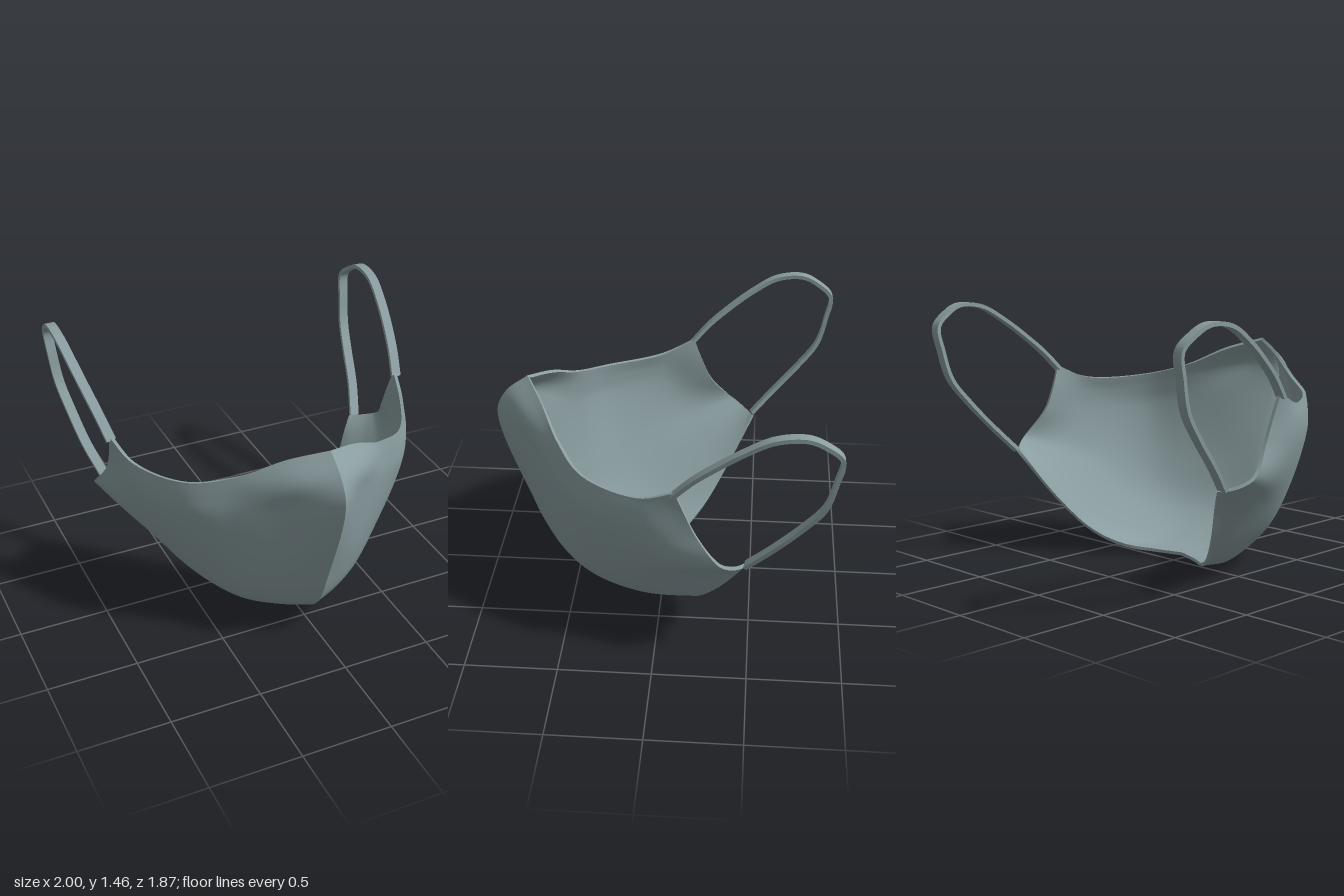
import * as THREE from 'three';
import { mergeGeometries } from 'three/addons/utils/BufferGeometryUtils.js';

const V = (p) => new THREE.Vector3(...p);
const spline = (pts) => new THREE.CatmullRomCurve3(pts);

// Rows of the left half from the top hem to the bottom hem,
// each running from the centre seam to the ear edge.
const ROWS = [
  [[0, 1.23, .76], [.2, 1.165, .655], [.42, 1.055, .54], [.64, .99, .385], [.82, .985, .08], [.88, 1.06, -.11]],
  [[0, 1.13, .885], [.18, 1.07, .77], [.42, .97, .56], [.65, .91, .39], [.83, .9, .08], [.87, .93, -.16]],
  [[0, 1, .94], [.2, .92, .745], [.43, .84, .56], [.65, .8, .39], [.83, .79, .06], [.875, .8, -.22]],
  [[0, .5, .79], [.2, .47, .665], [.4, .47, .51], [.6, .5, .32], [.8, .58, -.03], [.915, .655, -.34]],
  [[0, .18, .64], [.17, .18, .55], [.35, .2, .42], [.54, .29, .22], [.72, .45, -.08], [.88, .61, -.41]],
  [[0, .01, .33], [.14, .015, .27], [.29, .03, .17], [.46, .13, 0], [.64, .33, -.2], [.82, .59, -.47]],
  [[0, .015, .07], [.15, .02, .01], [.32, .045, -.1], [.47, .13, -.21], [.63, .32, -.34], [.79, .59, -.49]],
];

// Smooth grid surface from point(i, j)
function surface(nu, nv, point, flip = false) {
  const pos = [], idx = [];
  for (let j = 0; j <= nv; j++) {
    for (let i = 0; i <= nu; i++) pos.push(...point(i, j).toArray());
  }
  for (let j = 0; j < nv; j++) {
    for (let i = 0; i < nu; i++) {
      const a = j * (nu + 1) + i, b = a + 1, c = a + nu + 1, d = c + 1;
      if (flip) idx.push(a, b, c, b, d, c);
      else idx.push(a, c, b, b, c, d);
    }
  }
  const g = new THREE.BufferGeometry();
  g.setAttribute('position', new THREE.Float32BufferAttribute(pos, 3));
  g.setIndex(idx);
  g.computeVertexNormals();
  return g;
}

// Half of the cup: outer skin, inner lining and the hems joining them
function halfCup() {
  const NU = 40, NV = 48, thickness = 0.018;
  const rows = ROWS.map((r) => spline(r.map(V)));
  const columns = [];
  for (let i = 0; i <= NU; i++) columns.push(spline(rows.map((r) => r.getPoint(i / NU))));
  const outer = (i, j) => columns[i].getPoint(j / NV);
  const skin = surface(NU, NV, outer);
  const normals = skin.attributes.normal;
  const inner = (i, j) => {
    const n = new THREE.Vector3().fromBufferAttribute(normals, j * (NU + 1) + i);
    const p = outer(i, j).addScaledVector(n, -thickness);
    if (i === 0) p.x = 0;
    return p;
  };
  const lining = surface(NU, NV, inner, true);
  const topHem = surface(NU, 1, (i, k) => (k ? inner : outer)(i, 0), true);
  const bottomHem = surface(NU, 1, (i, k) => (k ? inner : outer)(i, NV));
  const earHem = surface(NV, 1, (j, k) => (k ? inner : outer)(NU, j), true);
  return mergeGeometries([skin, lining, topHem, bottomHem, earHem]);
}

// Flat elastic band looping from the upper to the lower ear corner
function earLoop() {
  const path = spline([
    [.872, 1.04, -.1], [.9, 1.15, -.2], [.925, 1.245, -.31], [.95, 1.35, -.45], [.968, 1.435, -.6],
    [.97, 1.45, -.75], [.962, 1.41, -.84], [.95, 1.335, -.92], [.94, 1.2, -.9], [.925, 1.04, -.855],
    [.9, .9, -.75], [.865, .74, -.605], [.815, .6, -.475],
  ].map(V));
  const N = 90, halfWidth = 0.027, halfThick = 0.011;
  const corners = [[1, 1], [1, -1], [-1, -1], [-1, 1]];
  const corner = (i, k) => {
    const t = path.getTangent(i / N);
    const w = new THREE.Vector3(1, 0, 0).addScaledVector(t, -t.x).normalize();
    const n = new THREE.Vector3().crossVectors(t, w);
    const [a, b] = corners[k % 4];
    return path.getPoint(i / N).addScaledVector(w, a * halfWidth).addScaledVector(n, b * halfThick);
  };
  const sides = [0, 1, 2, 3].map((s) => surface(N, 1, (i, k) => corner(i, s + k)));
  return mergeGeometries(sides);
}

// Reflected copy across x = 0 with its winding restored
function mirrored(geometry) {
  const g = geometry.clone().scale(-1, 1, 1);
  const a = g.index.array;
  for (let i = 0; i < a.length; i += 3) [a[i], a[i + 1]] = [a[i + 1], a[i]];
  g.computeVertexNormals();
  return g;
}

export function createModel() {
  const group = new THREE.Group();
  group.name = 'faceMask';
  const cloth = new THREE.MeshStandardMaterial({ color: 0x8a9da0, side: THREE.DoubleSide });
  const add = (name, geometry) => {
    const mesh = new THREE.Mesh(geometry, cloth);
    mesh.name = name;
    group.add(mesh);
  };
  const cup = halfCup(), loop = earLoop();
  add('leftCup', cup);
  add('rightCup', mirrored(cup));
  add('leftEarLoop', loop);
  add('rightEarLoop', mirrored(loop));
  return group;
}
